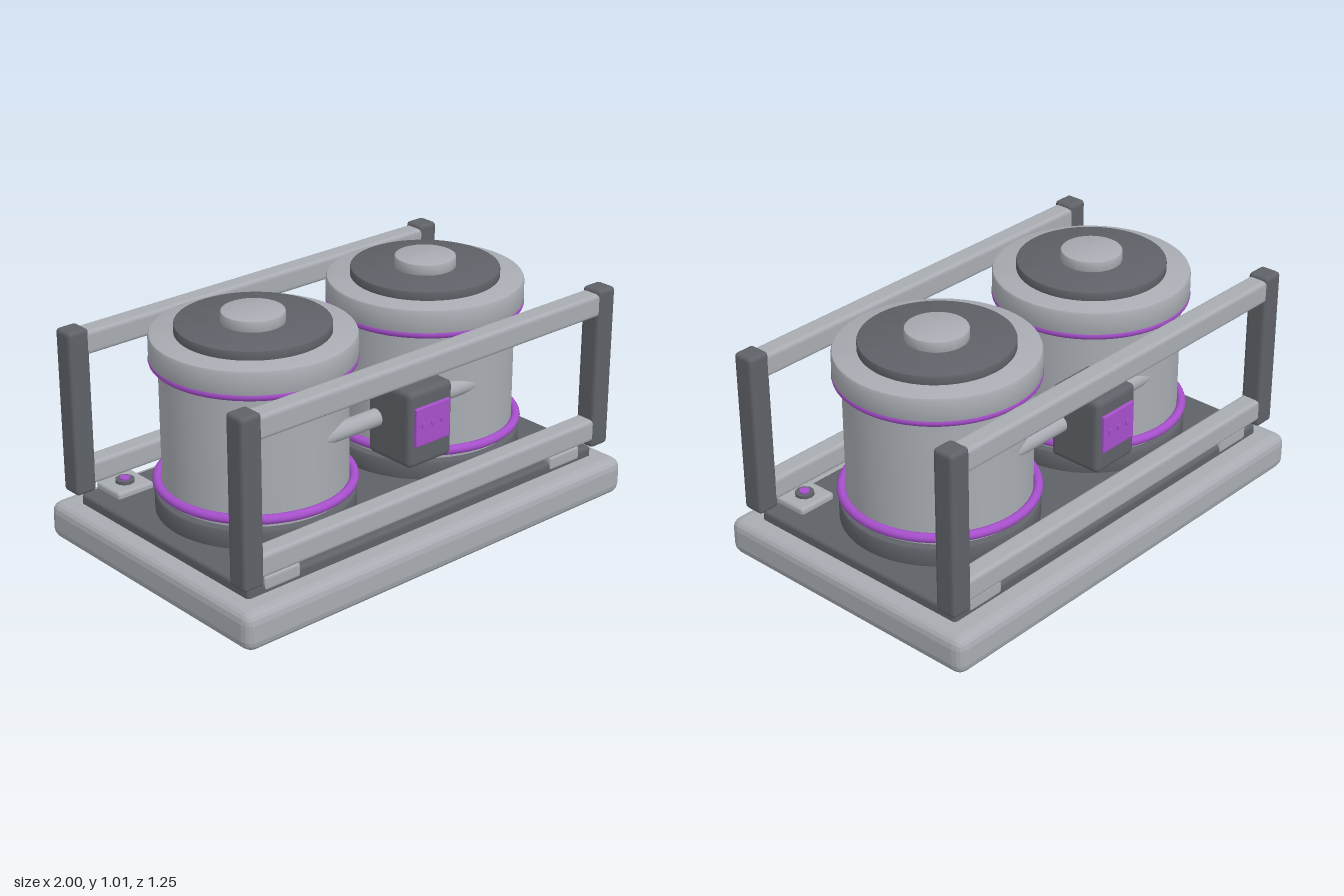
import * as THREE from 'three';
import { toCreasedNormals } from 'three/addons/utils/BufferGeometryUtils.js';
import { RoundedBoxGeometry } from 'three/addons/geometries/RoundedBoxGeometry.js';

const material = (name, color) => {
  const m = new THREE.MeshStandardMaterial({ color });
  m.name = name;
  return m;
};

export function createModel() {
  const light = material('light grey', 0xa8acb2);
  const dark = material('dark grey', 0x5e6167);
  const purple = material('purple', 0xa64fcb);
  const model = new THREE.Group();
  model.name = 'twinTankUnit';

  const add = (parent, name, geometry, mat, x = 0, y = 0, z = 0) => {
    const mesh = new THREE.Mesh(geometry, mat);
    mesh.name = name;
    mesh.position.set(x, y, z);
    parent.add(mesh);
    return mesh;
  };
  // Box with faceted bevels
  const bevelBox = (w, h, d, r, segments = 2) => {
    const g = new RoundedBoxGeometry(w, h, d, segments, r);
    g.computeVertexNormals();
    return g;
  };
  // Solid of revolution from [radius, height] pairs, bottom to top
  const turned = (points, sides = 56) => toCreasedNormals(
    new THREE.LatheGeometry(points.map(([r, y]) => new THREE.Vector2(r, y)), sides), 0.6);
  // Disc with a small bevel around its top and bottom
  const drum = (r, y0, y1, b) => turned([
    [0, y0], [r - b, y0], [r - b * 0.3, y0 + b * 0.3], [r, y0 + b],
    [r, y1 - b], [r - b * 0.3, y1 - b * 0.3], [r - b, y1], [0, y1]]);

  // Base slab and deck
  add(model, 'base', bevelBox(2, 0.16, 1.25, 0.045), light, 0, 0.082, 0);
  add(model, 'deck', bevelBox(1.83, 0.06, 1.04, 0.015), dark, 0, 0.175, 0);

  // Two tanks with foot, seals, lid, cap and knob
  const ring = new THREE.TorusGeometry(0.383, 0.019, 12, 56).rotateX(Math.PI / 2);
  for (const side of [-1, 1]) {
    const tank = new THREE.Group();
    tank.name = side > 0 ? 'leftTank' : 'rightTank';
    tank.position.x = side * 0.447;
    model.add(tank);
    add(tank, 'foot', drum(0.395, 0.19, 0.285, 0.015), dark);
    add(tank, 'body', turned([[0.365, 0.27], [0.365, 0.85]]), light);
    add(tank, 'lowerSeal', ring, purple, 0, 0.325, 0);
    add(tank, 'upperSeal', ring, purple, 0, 0.83, 0);
    add(tank, 'lid', drum(0.4, 0.825, 0.935, 0.014), light);
    add(tank, 'cap', drum(0.302, 0.925, 0.972, 0.006), dark);
    add(tank, 'knob', drum(0.124, 0.96, 1.016, 0.006), light);
  }

  // Frame, control box and mounts, the same on the front and the back
  const post = bevelBox(0.094, 0.69, 0.094, 0.016);
  const rail = bevelBox(1.8, 0.096, 0.086, 0.016);
  const pipe = new THREE.CylinderGeometry(0.036, 0.036, 0.84, 20).rotateZ(Math.PI / 2);
  const button = new THREE.CylinderGeometry(0.014, 0.014, 0.008, 8).rotateX(Math.PI / 2);
  const mount = bevelBox(0.172, 0.06, 0.155, 0.012);
  const washer = new THREE.CylinderGeometry(0.039, 0.039, 0.016, 10);
  const bolt = new THREE.CylinderGeometry(0.022, 0.022, 0.012, 8);
  for (const name of ['frontAssembly', 'backAssembly']) {
    const half = new THREE.Group();
    half.name = name;
    if (name === 'backAssembly') half.rotation.y = Math.PI;
    model.add(half);

    add(half, 'upperRail', rail, light, 0, 0.847, 0.516);
    add(half, 'lowerRail', rail, light, 0, 0.297, 0.516);

    add(half, 'connectingPipe', pipe, light, 0, 0.58, 0.325);
    add(half, 'controlBox', bevelBox(0.226, 0.314, 0.235, 0.022), dark, 0, 0.577, 0.395);
    add(half, 'controlPanel', bevelBox(0.178, 0.158, 0.03, 0.004, 1), purple, 0, 0.59, 0.51);
    for (const x of [-0.05, 0, 0.05]) {
      add(half, 'panelButton', button, purple, x, 0.595, 0.528);
    }

    for (const side of [-1, 1]) {
      add(half, 'cornerPost', post, dark, side * 0.917, 0.565, 0.517);
      add(half, 'mountPlate', mount, light, side * 0.752, 0.2, 0.448);
      add(half, 'mountWasher', washer, dark, side * 0.752, 0.235, 0.448);
      add(half, 'mountBolt', bolt, purple, side * 0.752, 0.243, 0.448);
    }
  }
  return model;
}
